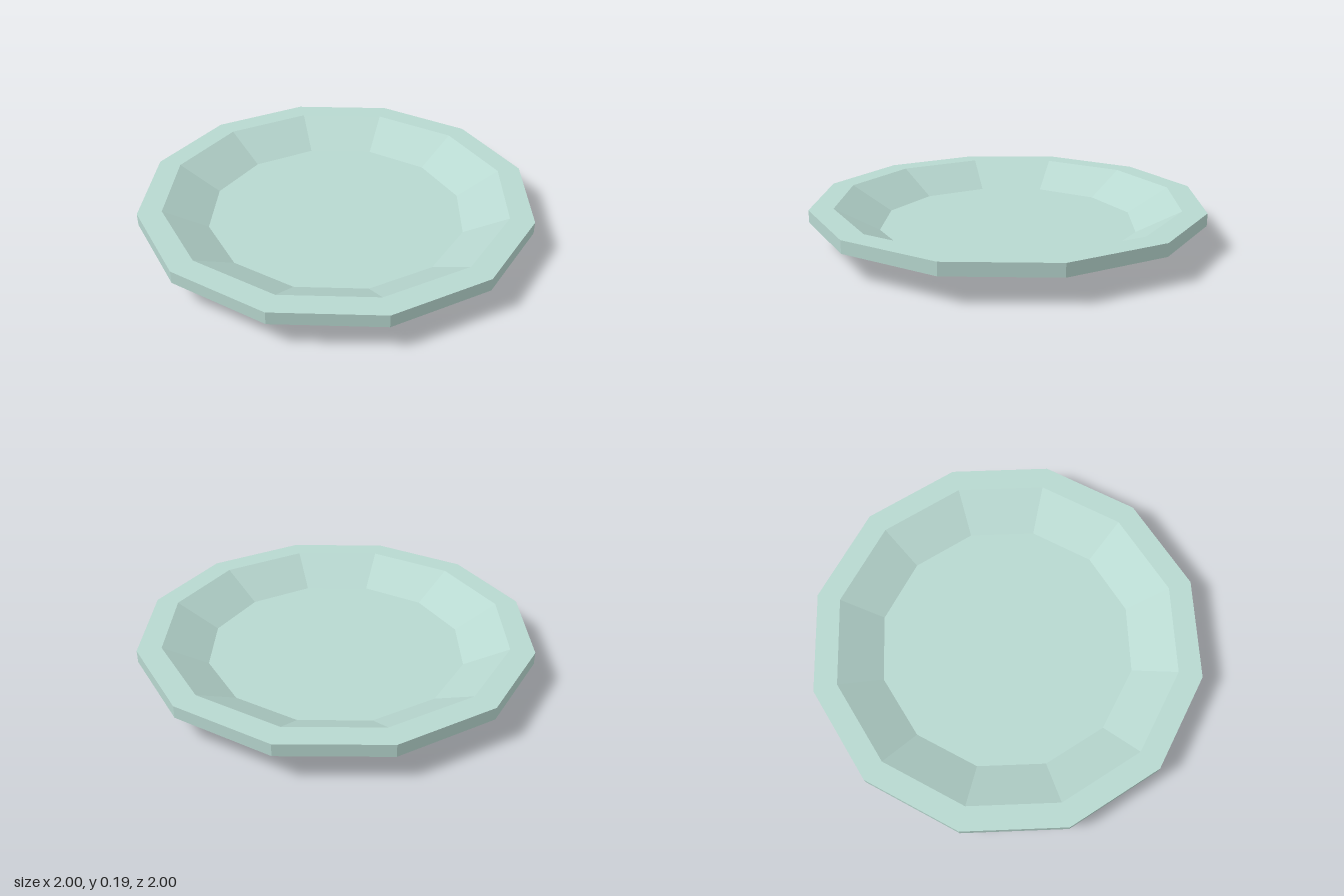
import * as THREE from 'three';

const SIDES = 12;

// Low-poly turned part from a closed [radius, height] profile
function turned(name, profile, material) {
  const points = profile.map(([r, y]) => new THREE.Vector2(r, y));
  const geometry = new THREE.LatheGeometry(points, SIDES).toNonIndexed();
  geometry.computeVertexNormals();
  const mesh = new THREE.Mesh(geometry, material);
  mesh.name = name;
  return mesh;
}

export function createModel() {
  const group = new THREE.Group();
  group.name = 'dish';

  const glaze = new THREE.MeshStandardMaterial({ color: 0xb8d8d0, flatShading: true });
  glaze.name = 'pale sea green glaze';

  // Underside, sloped outer wall, flat rim, sloped inner wall and floor
  group.add(turned('plate', [
    [0, 0],
    [0.66, 0],
    [0.88, 0.127],
    [1, 0.127],
    [1, 0.19],
    [0.88, 0.19],
    [0.66, 0.065],
    [0, 0.065],
  ], glaze));

  return group;
}
